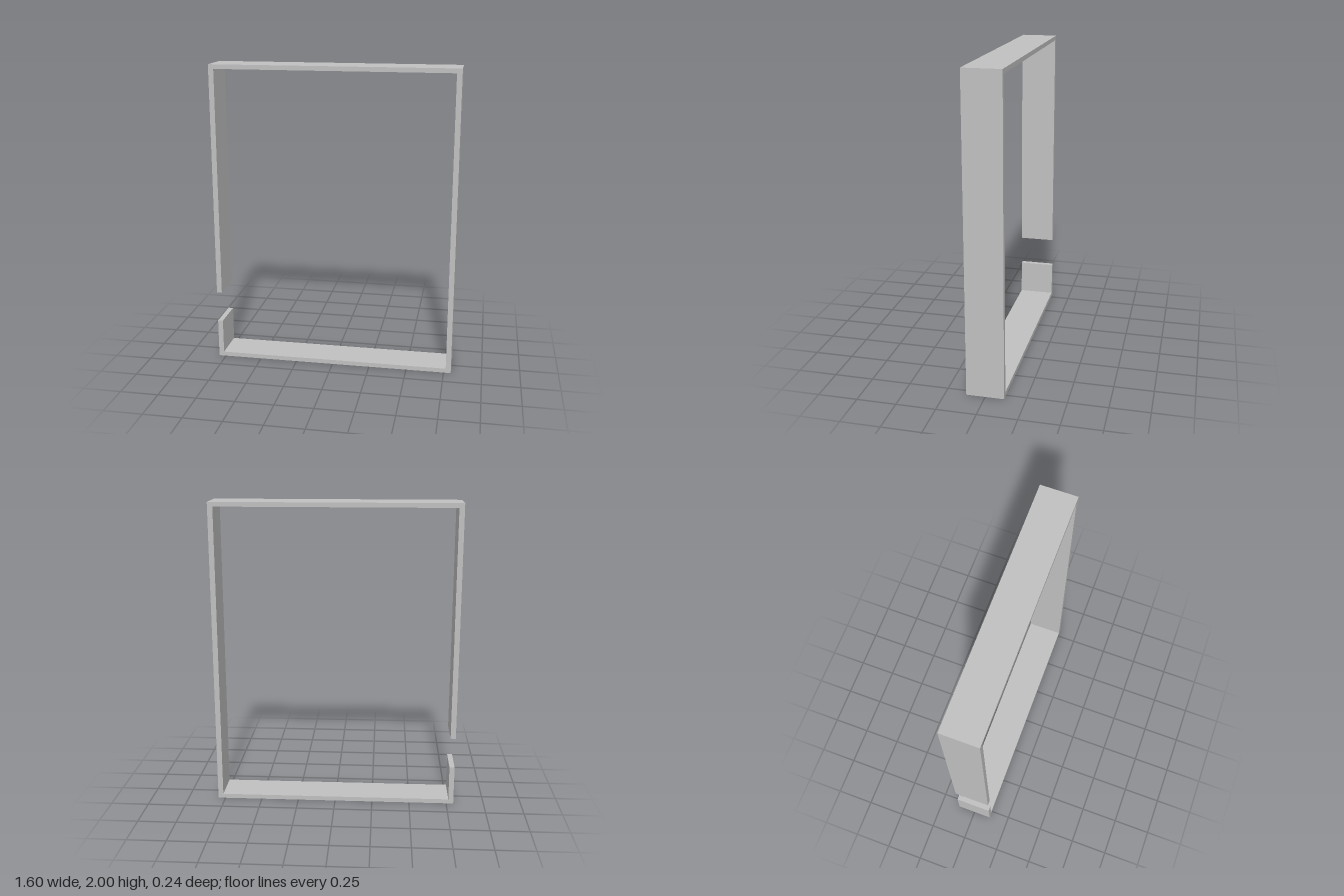
import * as THREE from 'three';

export function createModel() {
  const group = new THREE.Group();
  group.name = 'openFrame';
  const grey = new THREE.MeshStandardMaterial({ color: 0xc0c0c0 });
  grey.name = 'plain grey';

  const halfWidth = 0.798, height = 2, depth = 0.238;
  const side = 0.034, rail = 0.029;      // wall thicknesses
  const gapLow = 0.26, gapHigh = 0.465;  // opening in the right wall
  const inner = halfWidth - side;

  // Frame outline, broken by the opening, running around outside then inside
  const outline = [
    [-halfWidth, gapLow], [-halfWidth, 0], [halfWidth, 0], [halfWidth, height],
    [-halfWidth, height], [-halfWidth, gapHigh], [-inner, gapHigh],
    [-inner, height - rail], [inner, height - rail], [inner, rail],
    [-inner, rail], [-inner, gapLow],
  ];
  const shape = new THREE.Shape(outline.map(([x, y]) => new THREE.Vector2(x, y)));
  const geometry = new THREE.ExtrudeGeometry(shape, { depth, bevelEnabled: false });
  geometry.translate(0, 0, -depth / 2);

  const frame = new THREE.Mesh(geometry, grey);
  frame.name = 'frameWalls';
  group.add(frame);
  return group;
}
